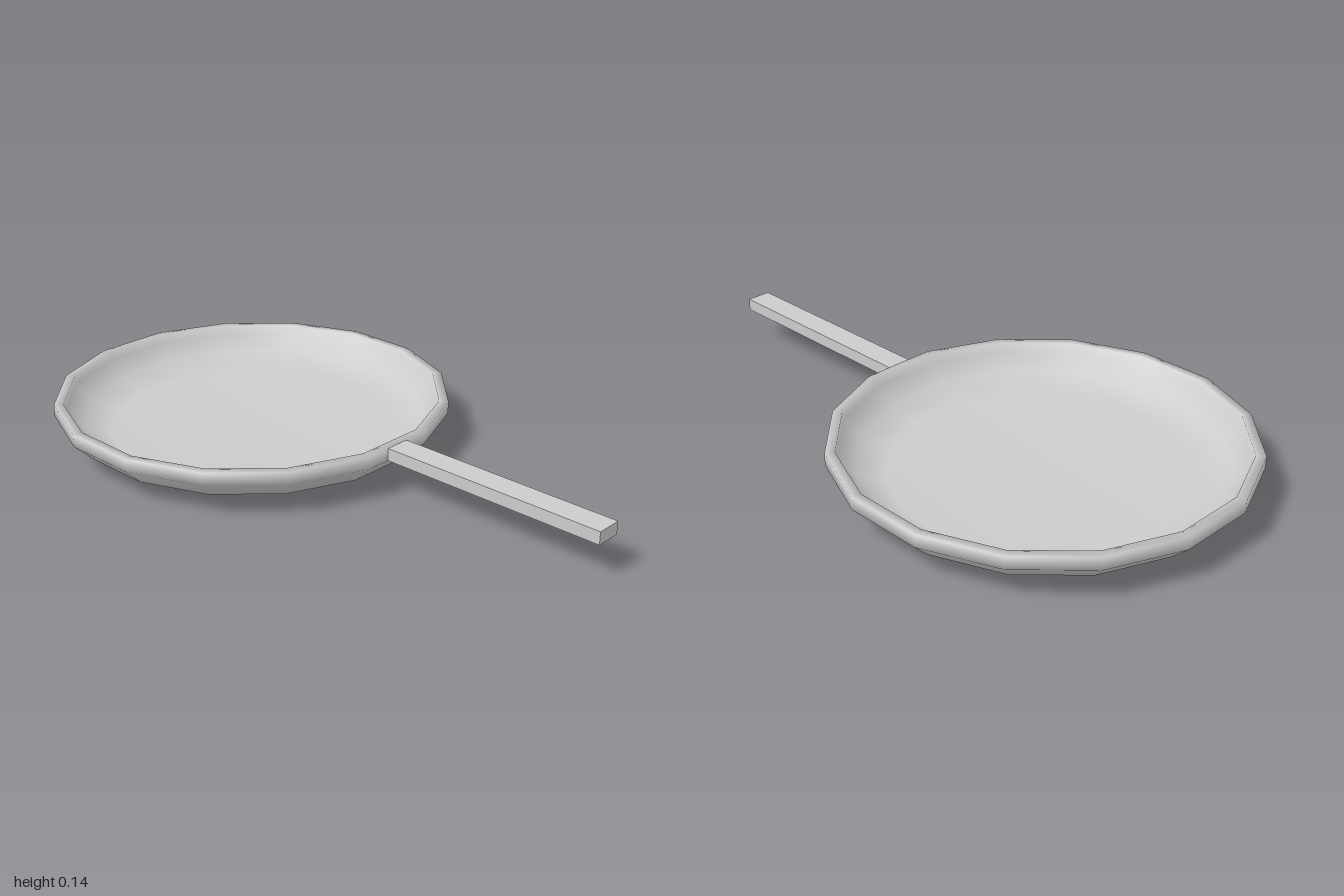
import * as THREE from 'three';

export function createModel() {
  const group = new THREE.Group();
  const material = new THREE.MeshStandardMaterial({ color: 0xcccccc });
  const SIDES = 16;
  const corner = 1 / Math.cos(Math.PI / SIDES); // flat-to-corner radius ratio

  // Pan: one closed profile, from the underside over the rim to the inner floor
  const profile = [
    [0, 0], [0.466, 0], [0.566, 0.045], [0.628, 0.105], [0.628, 0.145],
    [0.598, 0.145], [0.598, 0.117], [0.546, 0.068], [0.459, 0.03], [0, 0.03],
  ].map(([r, y]) => new THREE.Vector2(r * corner, y));
  // half a step of turn puts a flat side at the handle
  const pan = new THREE.Mesh(
    new THREE.LatheGeometry(profile, SIDES, Math.PI / SIDES), material);
  pan.name = 'pan';
  pan.position.z = -0.372;
  group.add(pan);

  // Handle: straight bar level with the rim
  const handle = new THREE.Mesh(new THREE.BoxGeometry(0.083, 0.04, 0.745), material);
  handle.name = 'handle';
  handle.position.set(0, 0.125, 0.6275);
  group.add(handle);

  return group;
}
